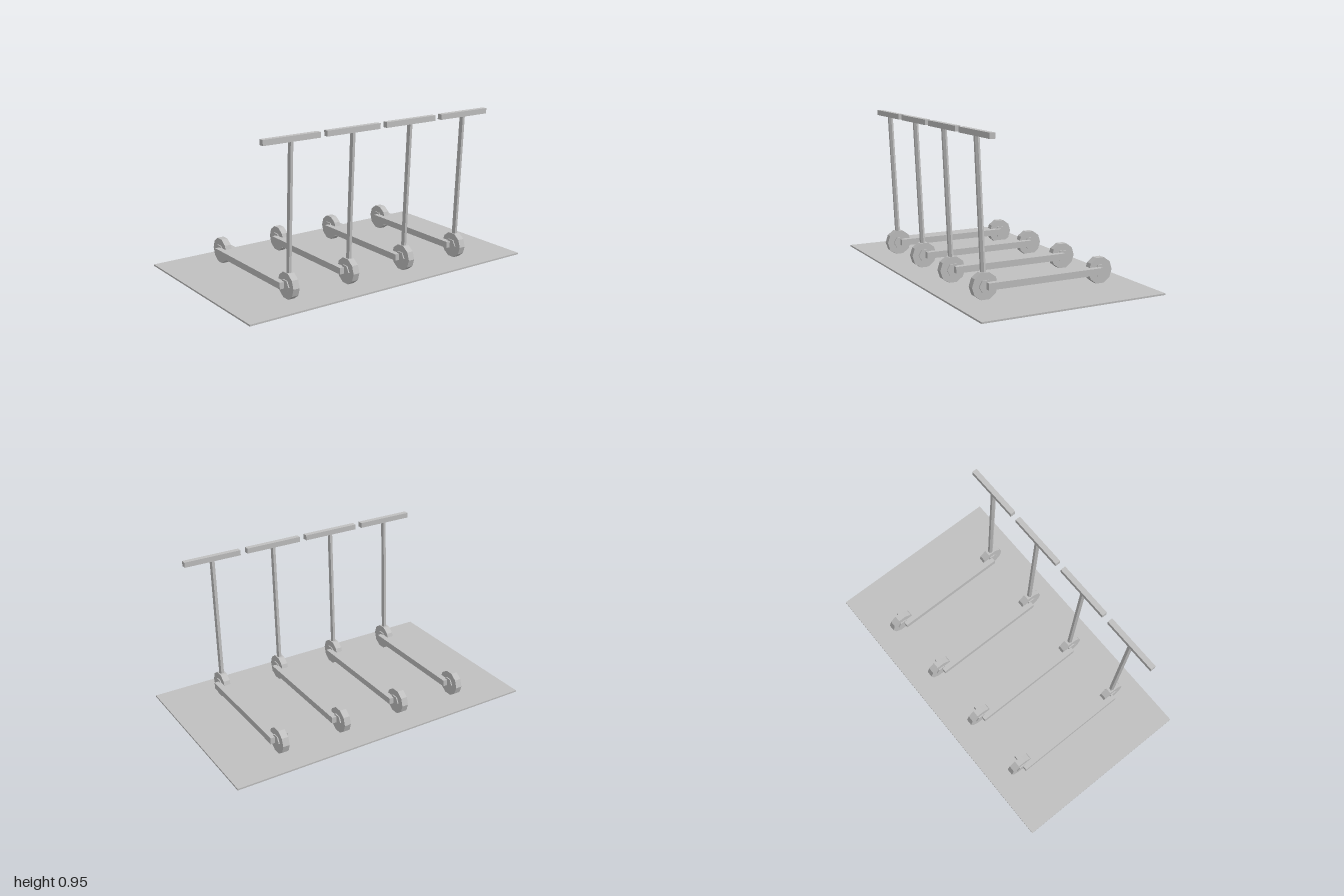
import * as THREE from 'three';

const grey = new THREE.MeshStandardMaterial({ color: 0xc0c0c0, flatShading: true });
grey.name = 'light grey';

function part(name, geometry, x = 0, y = 0, z = 0) {
  const mesh = new THREE.Mesh(geometry, grey);
  mesh.name = name;
  mesh.position.set(x, y, z);
  return mesh;
}

// Faceted disc on the x axis, with corners pointing to +z and -z
const disc = (radius, width, sides) =>
  new THREE.CylinderGeometry(radius, radius, width, sides).rotateZ(Math.PI / 2);

function createScooter() {
  const scooter = new THREE.Group();
  scooter.name = 'scooter';
  const axleY = 0.087;

  // Wheels with six-sided hubs
  for (const [side, z] of [['front', 0.379], ['rear', -0.379]]) {
    scooter.add(part(side + 'Wheel', disc(0.081, 0.042, 10), 0, axleY, z));
    scooter.add(part(side + 'Hub', disc(0.04, 0.056, 6), 0, axleY, z));
  }

  // Standing deck between the axles
  scooter.add(part('deck', new THREE.BoxGeometry(0.113, 0.04, 0.748), 0, 0.09, 0));

  // Leaning steering stem from the front axle to the handlebar
  const bottom = new THREE.Vector3(0, axleY, 0.379);
  const top = new THREE.Vector3(0, 0.936, 0.42);
  const along = top.clone().sub(bottom);
  const stem = part('steeringStem',
    new THREE.CylinderGeometry(0.0165, 0.0165, along.length(), 6, 1, false, Math.PI / 2));
  stem.position.copy(bottom).add(top).multiplyScalar(0.5);
  stem.rotation.x = Math.atan2(along.z, along.y);
  scooter.add(stem);

  scooter.add(part('handlebar', new THREE.BoxGeometry(0.37, 0.033, 0.033), 0, 0.936, 0.42));
  return scooter;
}

export function createModel() {
  const model = new THREE.Group();
  model.name = 'scooterParking';

  // Thin ground slab
  model.add(part('baseSlab', new THREE.BoxGeometry(2, 0.01, 1.166), 0, 0.005, 0));

  // Row of four scooters
  for (let i = 0; i < 4; i++) {
    const scooter = createScooter();
    scooter.position.x = (i - 1.5) * 0.416;
    model.add(scooter);
  }
  return model;
}
